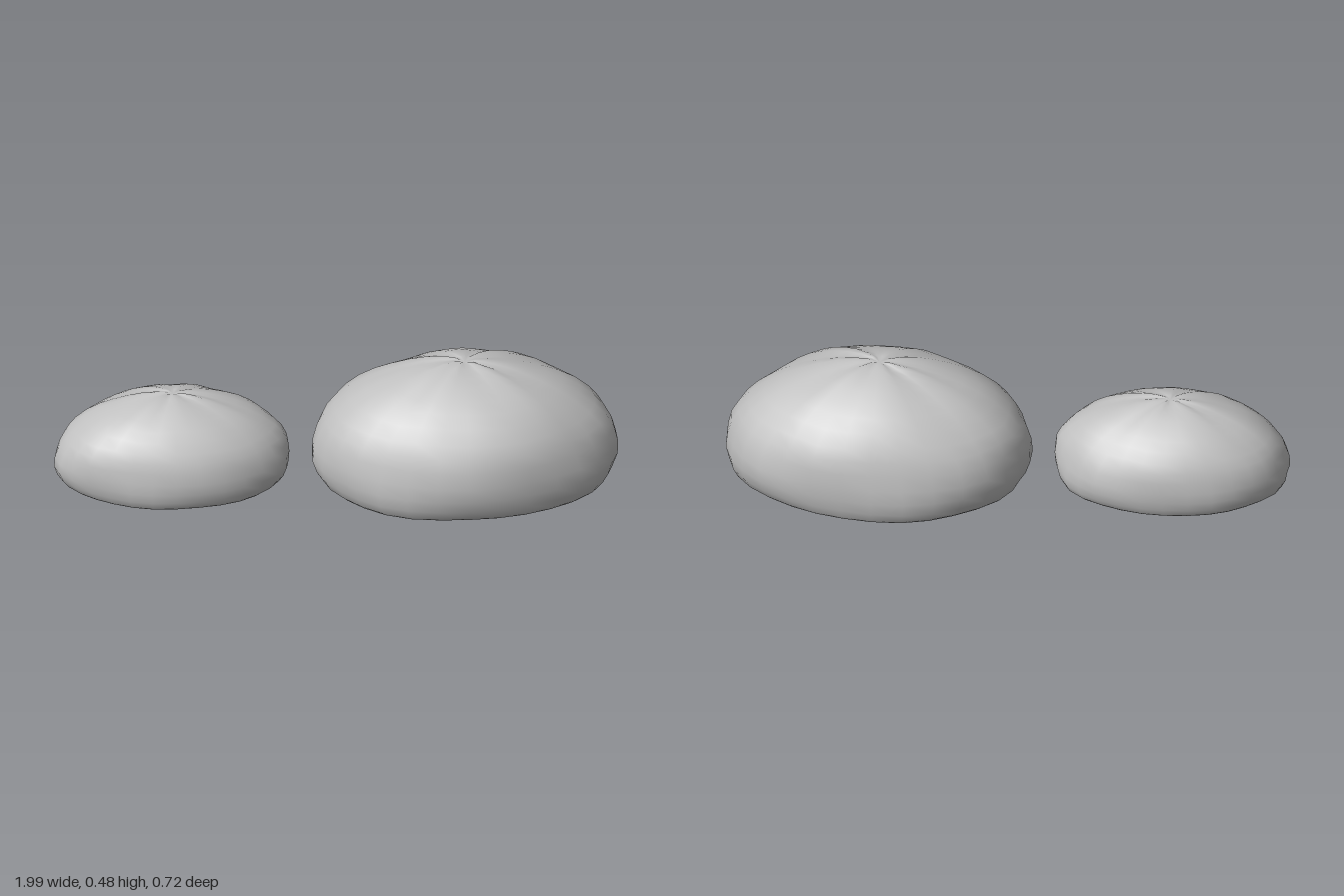
import * as THREE from 'three';
import { mergeVertices } from 'three/addons/utils/BufferGeometryUtils.js';

// half outline of a flat-bottomed boulder: [radius, height], both 0..1
const PROFILE = [
  [0, -0.012], [0.1, -0.01], [0.5, -0.003], [0.84, 0], [0.91, 0.004], [0.94, 0.03], [0.975, 0.1],
  [1, 0.2], [0.995, 0.31], [0.97, 0.43], [0.925, 0.53], [0.86, 0.62], [0.76, 0.72], [0.65, 0.8],
  [0.54, 0.86], [0.41, 0.92], [0.28, 0.965], [0.16, 0.99], [0.07, 1], [0, 0.985],
];

// lathe the outline, stretch it into an oval and weather the surface
function boulder(name, material, { x, y, halfX, halfZ, height, seed }) {
  let geo = new THREE.LatheGeometry(PROFILE.map(([r, h]) => new THREE.Vector2(r, h)), 30);
  geo.deleteAttribute('uv');
  geo.deleteAttribute('normal');
  geo = mergeVertices(geo, 1e-4);
  const pos = geo.attributes.position;
  for (let i = 0; i < pos.count; i++) {
    const px = pos.getX(i), h = pos.getY(i), pz = pos.getZ(i);
    const a = Math.atan2(pz, px), r = Math.hypot(px, pz);
    // broad dents around the sides
    const dent = 1 + 0.012 * Math.sin(3 * a + seed + 4 * h) + 0.01 * Math.sin(5 * a - 2 * seed + 7 * h)
      + 0.006 * Math.sin(8 * a + 3 * seed - 9 * h);
    // fine creases running out from the crown
    const crease = h > 0.5 ? 0.012 * Math.sin(7 * a + seed) * Math.min(1, r * 6) * (1 - r * 0.8)
      + 0.006 * Math.sin(11 * a - seed) * Math.min(1, r * 6) : 0;
    pos.setXYZ(i, px * dent * halfX, (h + crease) * height, pz * dent * halfZ);
  }
  geo.computeVertexNormals();
  const mesh = new THREE.Mesh(geo, material);
  mesh.name = name;
  mesh.position.set(x, y, 0);
  return mesh;
}

export function createModel() {
  const stone = new THREE.MeshStandardMaterial({ color: 0xc0c0c0 });
  stone.name = 'grey stone';
  const group = new THREE.Group();
  group.name = 'boulders';
  group.add(
    boulder('largeBoulder', stone, { x: 0.452, y: 0.012, halfX: 0.54, halfZ: 0.358, height: 0.468, seed: 1.3 }),
    boulder('smallBoulder', stone, { x: -0.578, y: 0.042, halfX: 0.416, halfZ: 0.262, height: 0.34, seed: 4.1 }),
  );
  return group;
}
